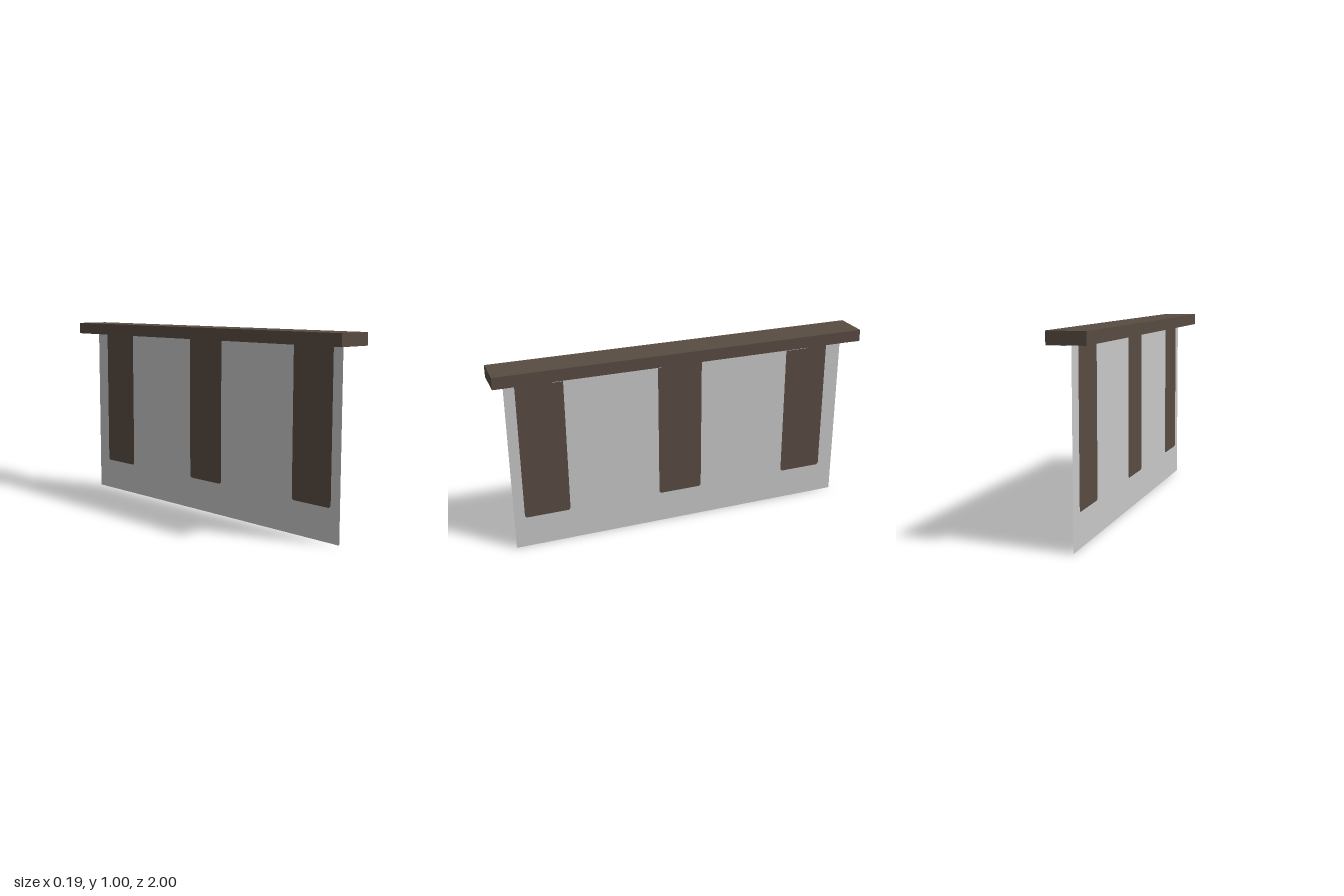
import * as THREE from 'three';

const BEAM_BOTTOM = 0.938;
const HALF_WIDTH = 0.094;

// Strip outline with slightly clipped lower corners (u runs along z)
function stripOutline(u0, u1) {
  const c = 0.01, low = 0.17;
  return [
    [u0, BEAM_BOTTOM], [u0, low + c], [u0 + c, low],
    [u1 - c, low], [u1, low + c], [u1, BEAM_BOTTOM],
  ].map(([u, v]) => new THREE.Vector2(u, v));
}

export function createModel() {
  const brown = new THREE.MeshStandardMaterial({ color: 0x584c42, side: THREE.DoubleSide });
  brown.name = 'dark brown';
  const grey = new THREE.MeshStandardMaterial({ color: 0xc8c8c8, side: THREE.DoubleSide });
  grey.name = 'light grey';

  const group = new THREE.Group();
  group.name = 'hangingPanel';
  const add = (name, geometry, material) => {
    const mesh = new THREE.Mesh(geometry, material);
    mesh.name = name;
    group.add(mesh);
    return mesh;
  };
  // Flat sheet in the x = 0 plane
  const sheet = (shape) => new THREE.ShapeGeometry(shape).rotateY(-Math.PI / 2);

  // Top beam
  add('topBeam', new THREE.BoxGeometry(2 * HALF_WIDTH, 1 - BEAM_BOTTOM, 2), brown)
    .position.y = (1 + BEAM_BOTTOM) / 2;

  // Three strips set into the panel, whose outline steps around them
  const outline = [new THREE.Vector2(-0.935, BEAM_BOTTOM), new THREE.Vector2(-0.935, 0),
    new THREE.Vector2(0.935, 0), new THREE.Vector2(0.935, BEAM_BOTTOM)];
  for (const u of [0.757, 0.012, -0.728]) {
    const points = stripOutline(u - 0.122, u + 0.122);
    add('strip', sheet(new THREE.Shape(points)), brown);
    outline.push(...points.slice().reverse());
  }
  add('panel', sheet(new THREE.Shape(outline)), grey);

  // Grey patches along one half of the beam's underside
  for (const [z0, z1] of [[0.15, 0.71], [-0.68, -0.13], [-1, -0.96]]) {
    add('undersidePatch', new THREE.BoxGeometry(HALF_WIDTH, 0.002, z1 - z0), grey)
      .position.set(HALF_WIDTH / 2, BEAM_BOTTOM - 0.001, (z0 + z1) / 2);
  }
  return group;
}
